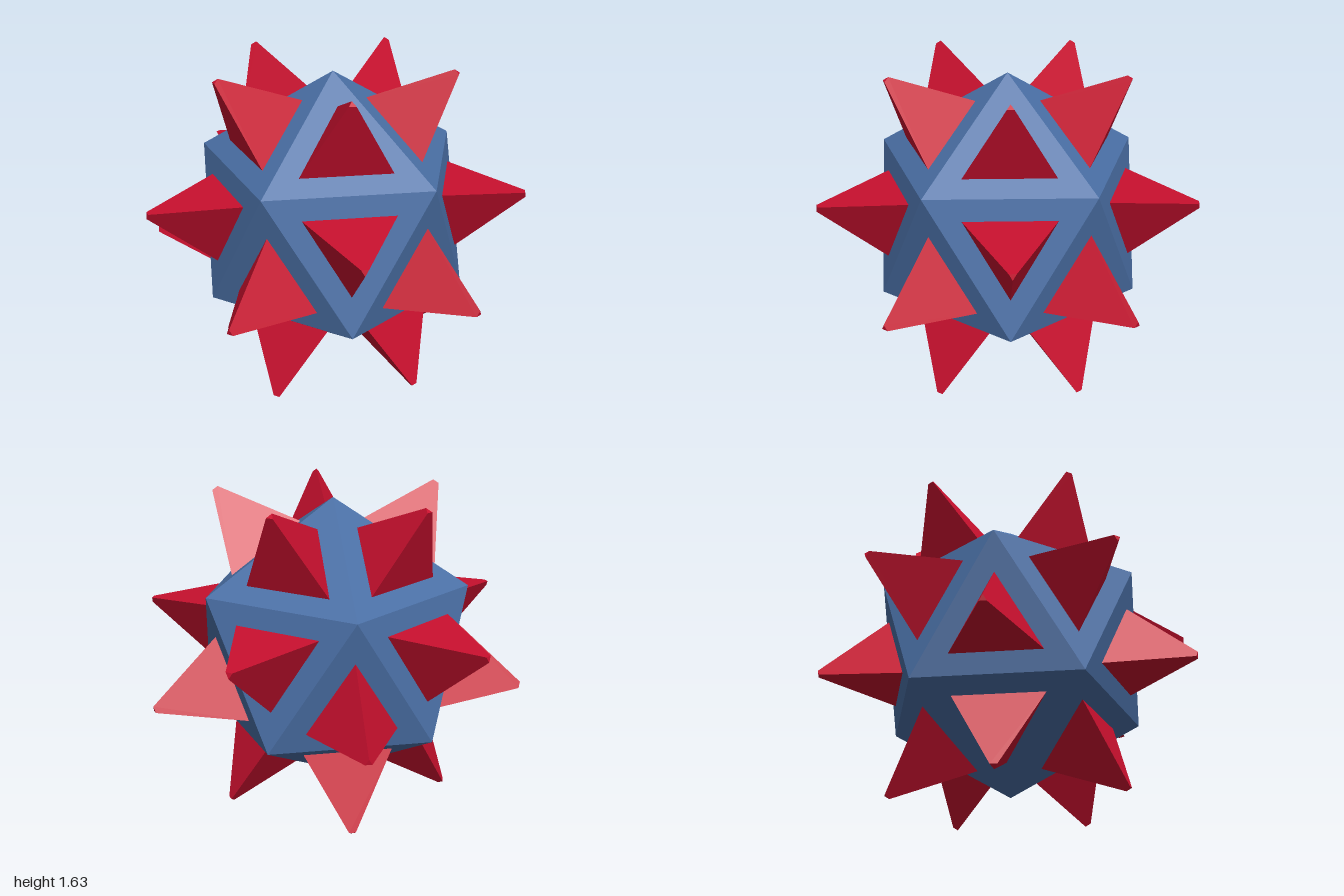
import * as THREE from 'three';

const CENTRE_Y = 0.818;
const R = 0.78;            // icosahedron circumradius
const TIP = 1.013;         // distance of spike tips from the centre
const TIP_R = 0.02;        // blunt tip radius
const BASE_SCALE = 0.55;   // spike base relative to its face

// Twenty triangles of an icosahedron standing on a vertex
function icosahedronFaces() {
  const ring = (y, offset) => Array.from({ length: 5 }, (_, k) => {
    const a = (k * 72 + offset) * Math.PI / 180, r = R * 2 / Math.sqrt(5);
    return new THREE.Vector3(r * Math.cos(a), y, -r * Math.sin(a));
  });
  const top = new THREE.Vector3(0, R, 0), bottom = new THREE.Vector3(0, -R, 0);
  const u = ring(R / Math.sqrt(5), 0), l = ring(-R / Math.sqrt(5), 36);
  const faces = [];
  for (let k = 0; k < 5; k++) {
    const n = (k + 1) % 5;
    faces.push([top, u[k], u[n]], [u[k], l[k], u[n]], [l[k], l[n], u[n]], [bottom, l[n], l[k]]);
  }
  return faces;
}

export function createModel() {
  const model = new THREE.Group();
  model.name = 'spikedIcosahedron';
  const blue = new THREE.MeshStandardMaterial({ color: 0x4a6fa5, flatShading: true });
  const red = new THREE.MeshStandardMaterial({ color: 0xc8102e, flatShading: true });
  const faces = icosahedronFaces();

  // Core body
  const coreGeometry = new THREE.BufferGeometry().setFromPoints(faces.flat());
  coreGeometry.computeVertexNormals();
  const core = new THREE.Mesh(coreGeometry, blue);
  core.name = 'core';
  core.position.y = CENTRE_Y;
  model.add(core);

  // One blunt three-sided spike on every face, its base parallel to the face edges
  const spikes = new THREE.Group();
  spikes.name = 'spikes';
  spikes.position.y = CENTRE_Y;
  const centroid = ([a, b, c]) => a.clone().add(b).add(c).divideScalar(3);
  const inradius = centroid(faces[0]).length();
  const baseR = BASE_SCALE * faces[0][0].distanceTo(centroid(faces[0]));
  const height = TIP - inradius;
  const spikeGeometry = new THREE.CylinderGeometry(TIP_R, baseR, height, 3);
  spikeGeometry.translate(0, inradius + height / 2, 0);
  faces.forEach((face, i) => {
    const c = centroid(face);
    const yAxis = c.clone().normalize();
    const zAxis = face[0].clone().sub(c).normalize();
    const xAxis = yAxis.clone().cross(zAxis);
    const spike = new THREE.Mesh(spikeGeometry, red);
    spike.name = `spike${i + 1}`;
    spike.quaternion.setFromRotationMatrix(new THREE.Matrix4().makeBasis(xAxis, yAxis, zAxis));
    spikes.add(spike);
  });
  model.add(spikes);
  return model;
}
